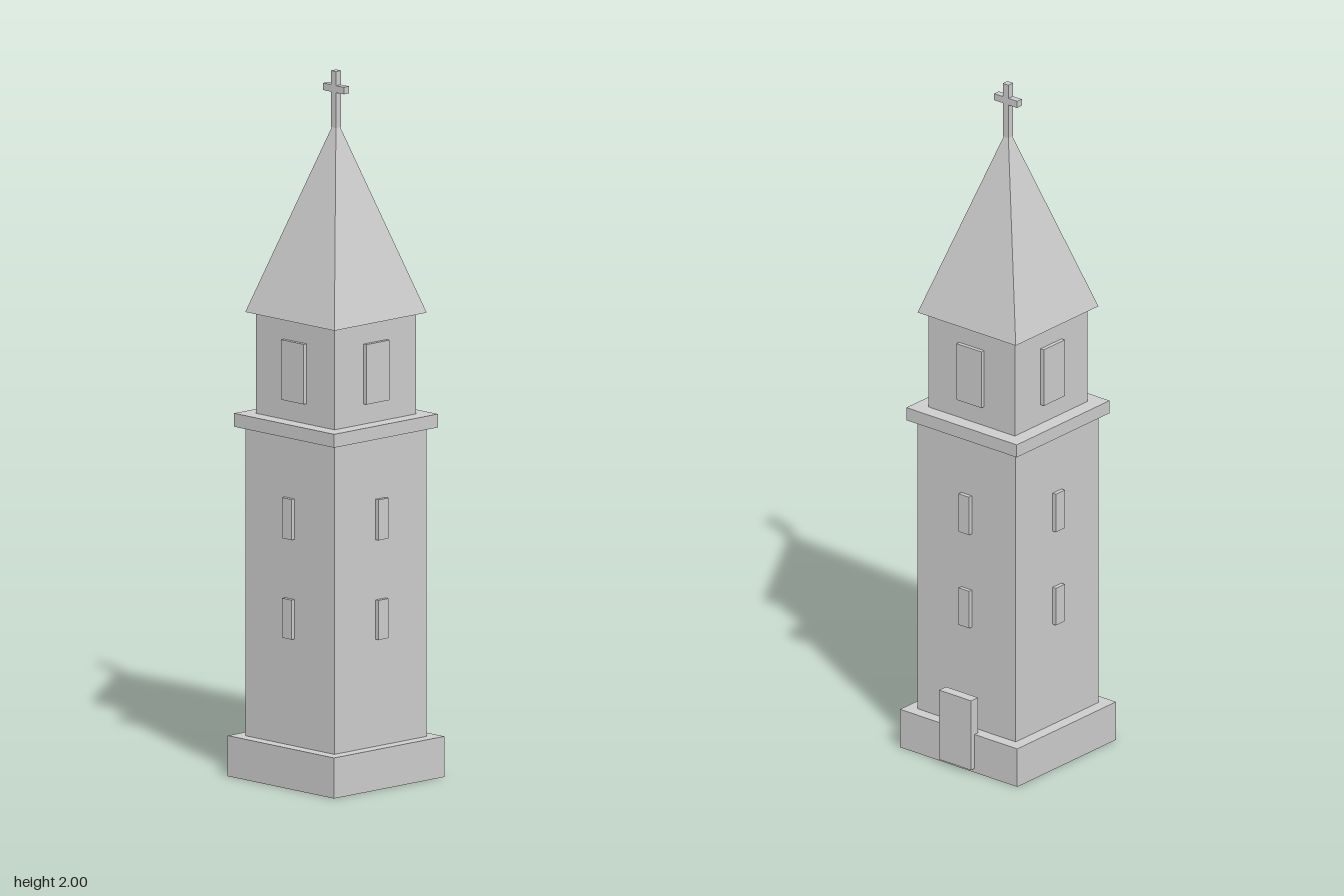
import * as THREE from 'three';

export function createModel() {
  const stone = new THREE.MeshStandardMaterial({ color: 0xcccccc });
  stone.name = 'pale stone';

  const model = new THREE.Group();
  model.name = 'bellTower';
  const tower = new THREE.Group();
  tower.name = 'tower';
  tower.position.z = 0.006;
  model.add(tower);

  // Box spanning y0..y1, centred on x and z
  function block(name, width, y0, y1, depth, parent = tower, x = 0, z = 0) {
    const mesh = new THREE.Mesh(new THREE.BoxGeometry(width, y1 - y0, depth), stone);
    mesh.name = name;
    mesh.position.set(x, (y0 + y1) / 2, z);
    parent.add(mesh);
    return mesh;
  }

  // Square storeys
  block('plinth', 0.425, 0, 0.115, 0.425);
  block('shaft', 0.356, 0.115, 0.99, 0.356);
  block('cornice', 0.4, 0.99, 1.028, 0.4);
  block('belfry', 0.313, 1.028, 1.315, 0.313);

  // Pyramid spire
  const spireGeometry = new THREE.ConeGeometry(0.178 * Math.SQRT2, 0.55, 4, 1).toNonIndexed();
  spireGeometry.rotateY(Math.PI / 4);
  spireGeometry.computeVertexNormals();
  const spire = new THREE.Mesh(spireGeometry, stone);
  spire.name = 'spire';
  spire.position.y = 1.315 + 0.275;
  tower.add(spire);

  // Cross on the spire tip
  block('crossPost', 0.02, 1.84, 2, 0.02);
  block('crossArm', 0.083, 1.94, 1.96, 0.02);

  // The same raised windows on all four sides
  for (let i = 0; i < 4; i++) {
    const side = new THREE.Group();
    side.name = 'windowSide' + (i + 1);
    side.rotation.y = (i * Math.PI) / 2;
    block('lowerWindow', 0.038, 0.418, 0.53, 0.03, side, 0, 0.175);
    block('upperWindow', 0.038, 0.7, 0.815, 0.03, side, 0, 0.175);
    block('belfryWindow', 0.09, 1.085, 1.255, 0.03, side, 0, 0.153);
    tower.add(side);
  }

  // Door standing against the back of the plinth
  block('door', 0.116, 0.012, 0.222, 0.03, model, 0, -0.207);

  return model;
}
